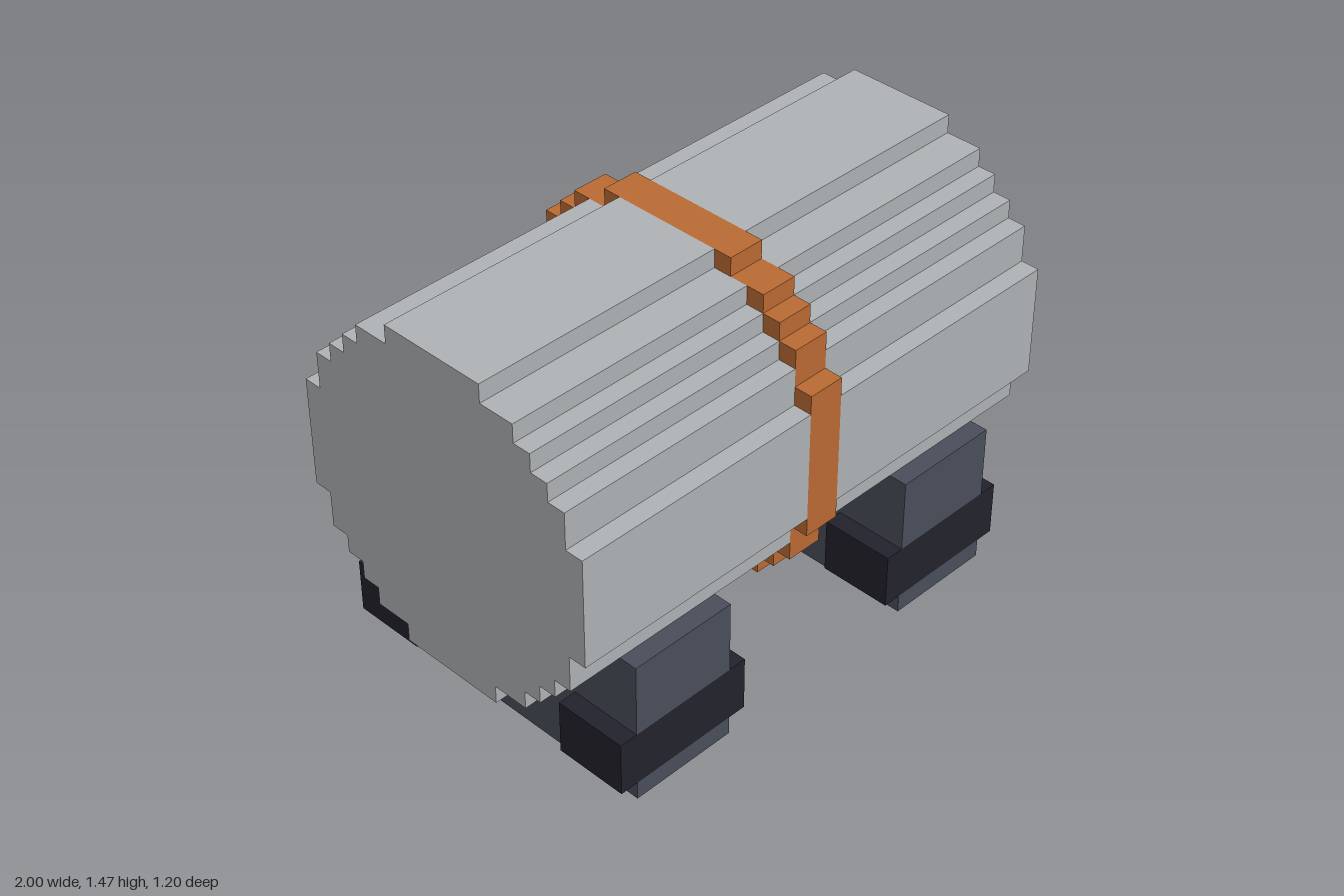
import * as THREE from 'three';

const U = 1 / 15; // one block

// Half widths of the stepped round sections, one per block row, from row 4 up
const TANK = [3, 5, 6, 7, 8, 8, 9, 9, 9, 9, 9, 9, 8, 8, 7, 6, 5, 3];
const BAND = [4, 6, 7, 8, 8, 9, 9, 9, 9, 9, 9, 9, 9, 8, 8, 7, 6, 4];
// Hollow inside, one block thinner, from row 5 up
const INNER = TANK.slice(1, -1).map((w, i) => Math.min(w - 1, TANK[i], TANK[i + 2]));

const material = (name, color) => {
  const m = new THREE.MeshStandardMaterial({ color });
  m.name = name;
  return m;
};

// Right-hand edge of a stepped section, bottom to top
function edge(rows, y0) {
  const pts = [];
  rows.forEach((w, i) => pts.push([w, y0 + i], [w, y0 + i + 1]));
  return pts;
}
const mirror = (pts) => pts.map(([x, y]) => [-x, y]).reverse();
const vectors = (pts) => pts
  .filter((p, i) => i === 0 || p[0] !== pts[i - 1][0] || p[1] !== pts[i - 1][1])
  .map(([x, y]) => new THREE.Vector2(x * U, y * U));

function section(rows, hollow) {
  const right = edge(rows, 4);
  const shape = new THREE.Shape(vectors([...right, ...mirror(right)]));
  if (hollow) {
    const inside = edge(INNER, 5);
    shape.holes.push(new THREE.Path(vectors([...inside, ...mirror(inside)])));
  }
  return shape;
}

// Section with a slot open along the bottom
function slottedSection() {
  const outer = edge(TANK.slice(1), 5);
  const inner = edge(INNER, 5);
  return new THREE.Shape(vectors([
    ...outer, ...mirror(outer), ...mirror(inner).reverse(), ...inner.slice().reverse(),
  ]));
}

// Extrude a section along x, between two block positions
function along(shape, x0, x1, mat, name) {
  const g = new THREE.ExtrudeGeometry(shape, { depth: (x1 - x0) * U, bevelEnabled: false });
  g.rotateY(Math.PI / 2).translate(x0 * U, 0, 0);
  const mesh = new THREE.Mesh(g, mat);
  mesh.name = name;
  return mesh;
}

function block(x0, x1, y0, y1, z0, z1, mat, name) {
  const g = new THREE.BoxGeometry((x1 - x0) * U, (y1 - y0) * U, (z1 - z0) * U);
  g.translate((x0 + x1) / 2 * U, (y0 + y1) / 2 * U, (z0 + z1) / 2 * U);
  const mesh = new THREE.Mesh(g, mat);
  mesh.name = name;
  return mesh;
}

export function createModel() {
  const model = new THREE.Group();
  model.name = 'storageTank';
  const grey = material('tank grey', 0xaeb2b4);
  const rust = material('band orange', 0xba6a34);
  const slate = material('cradle slate', 0x4a4e5a);
  const black = material('foot black', 0x22222c);

  // Orange band round the middle
  model.add(along(section(BAND, true), -1, 1, rust, 'band'));

  // Cradle side plate, cut to the tank's steps
  const step = [[8, 0], [8, 8], [7, 8], [7, 7], [6, 7], [6, 6], [5, 6], [5, 5], [3, 5], [3, 4]];
  const plate = new THREE.Shape(vectors([...step, ...mirror(step)]));

  for (const s of [-1, 1]) {
    const span = (a, b) => (s > 0 ? [a, b] : [-b, -a]);

    // Half of the tank: hollow body, slotted above the cradle, closed end
    const tank = new THREE.Group();
    tank.name = s > 0 ? 'leftTankHalf' : 'rightTankHalf';
    tank.add(
      along(section(TANK, true), ...span(1, 7), grey, 'innerBody'),
      along(slottedSection(), ...span(7, 11), grey, 'slottedBody'),
      along(section(TANK, true), ...span(11, 14), grey, 'outerBody'),
      along(section(TANK, false), ...span(14, 15), grey, 'endCap'),
    );

    // Open-bottomed cradle
    const cradle = new THREE.Group();
    cradle.name = s > 0 ? 'leftCradle' : 'rightCradle';
    cradle.add(
      along(plate, ...span(6, 7), slate, 'innerPlate'),
      along(plate, ...span(11, 12), slate, 'outerPlate'),
    );
    for (const [z0, z1, f0, f1] of [[8, 9, 5, 9], [-9, -8, -9, -5]]) {
      cradle.add(
        block(...span(6, 12), 0, 1, z0, z1, slate, 'endSill'),
        block(...span(6, 12), 4, 8, z0, z1, slate, 'endWall'),
        block(...span(5, 13), 1, 4, f0, f1, black, 'footBlock'),
      );
    }
    model.add(tank, cradle);
  }
  return model;
}
